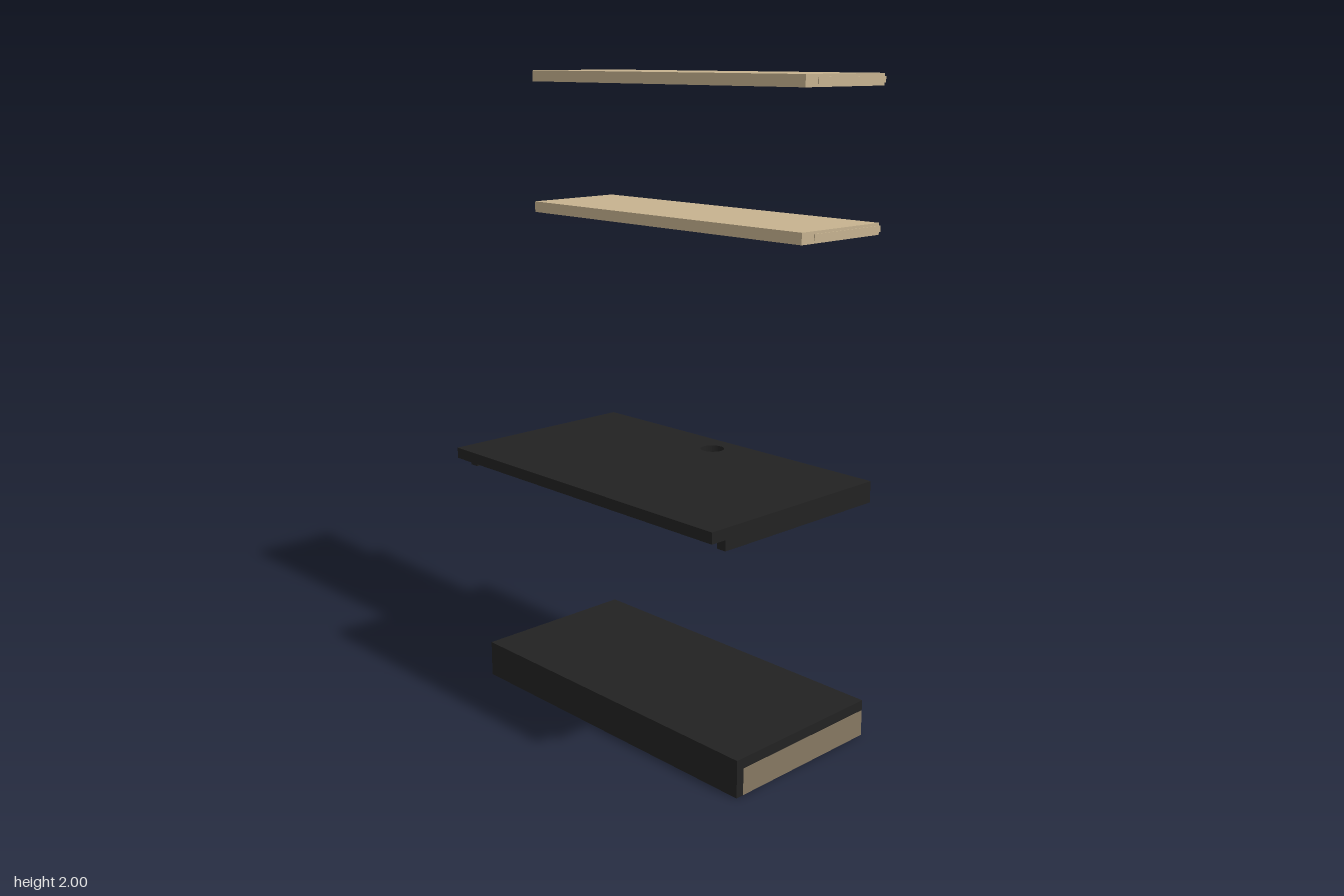
import * as THREE from 'three';

const shelfWood = new THREE.MeshStandardMaterial({ color: 0xc6b28f });
shelfWood.name = 'light wood';
const baseWood = new THREE.MeshStandardMaterial({ color: 0x867862 });
baseWood.name = 'grey brown wood';
const black = new THREE.MeshStandardMaterial({ color: 0x222222 });
black.name = 'matt black';

const HALF = 0.571;   // half width of every board
const BACK = -0.336;  // shared rear plane

// Box given by its limits along each axis
function board(name, material, x0, x1, y0, y1, z0, z1) {
  const mesh = new THREE.Mesh(new THREE.BoxGeometry(x1 - x0, y1 - y0, z1 - z0), material);
  mesh.position.set((x0 + x1) / 2, (y0 + y1) / 2, (z0 + z1) / 2);
  mesh.name = name;
  return mesh;
}

// Shelf with a slim raised edge strip on both ends and the back
function shelf(name, y0, y1) {
  const group = new THREE.Group();
  group.name = name;
  const lip = 0.003;
  group.add(board('shelfBoard', shelfWood, -HALF + lip, HALF - lip, y0, y1, BACK + lip, 0));
  for (const s of [-1, 1]) {
    const x = s * (HALF - lip), out = s * HALF;
    group.add(board('endStrip', shelfWood, Math.min(x, out), Math.max(x, out),
      y0 + 0.008, y1 - 0.008, BACK + lip, -0.05));
  }
  group.add(board('backStrip', shelfWood, -HALF, HALF, y0 + 0.008, y1 - 0.008, BACK, BACK + lip));
  return group;
}

// Desk: top with a cable hole, on a U-shaped support rim
function desk() {
  const group = new THREE.Group();
  group.name = 'desk';
  const y0 = 0.757, y1 = 0.789, y2 = 0.823, rim = 0.032, front = 0.284;

  const outline = new THREE.Shape([
    new THREE.Vector2(-HALF, BACK), new THREE.Vector2(HALF, BACK),
    new THREE.Vector2(HALF, -BACK), new THREE.Vector2(-HALF, -BACK),
  ]);
  const hole = new THREE.Path();
  hole.absarc(0, 0.25, 0.038, 0, Math.PI * 2, true);
  outline.holes.push(hole);
  const geometry = new THREE.ExtrudeGeometry(outline, { depth: y2 - y1, bevelEnabled: false, curveSegments: 24 });
  geometry.rotateX(-Math.PI / 2);
  const top = new THREE.Mesh(geometry, black);
  top.position.y = y1;
  top.name = 'deskTop';
  group.add(top);

  group.add(board('backRim', black, -HALF, HALF, y0, y1, BACK, BACK + rim));
  group.add(board('rightRim', black, -HALF, -HALF + rim, y0, y1, BACK + rim, front));
  group.add(board('leftRim', black, HALF - rim, HALF, y0, y1, BACK + rim, front));
  return group;
}

// Base: open-bottomed plinth with a central divider
function base() {
  const group = new THREE.Group();
  group.name = 'base';
  const h = 0.084, t = 0.03, front = 0.225, panel = 0.198;
  group.add(board('baseTop', black, -HALF, HALF, h, 0.117, BACK, front));
  group.add(board('frontPanel', black, -HALF, HALF, 0, h, panel, front));
  group.add(board('backPanel', baseWood, -HALF, HALF, 0, h, BACK, BACK + t));
  for (const [name, x] of [['rightPanel', -HALF], ['divider', -t / 2], ['leftPanel', HALF - t]]) {
    group.add(board(name, baseWood, x, x + t, 0, h, BACK + t, panel));
  }
  return group;
}

export function createModel() {
  const model = new THREE.Group();
  model.name = 'wallDeskSet';
  model.add(base(), desk(), shelf('lowerShelf', 1.553, 1.587), shelf('upperShelf', 1.966, 2));
  return model;
}
